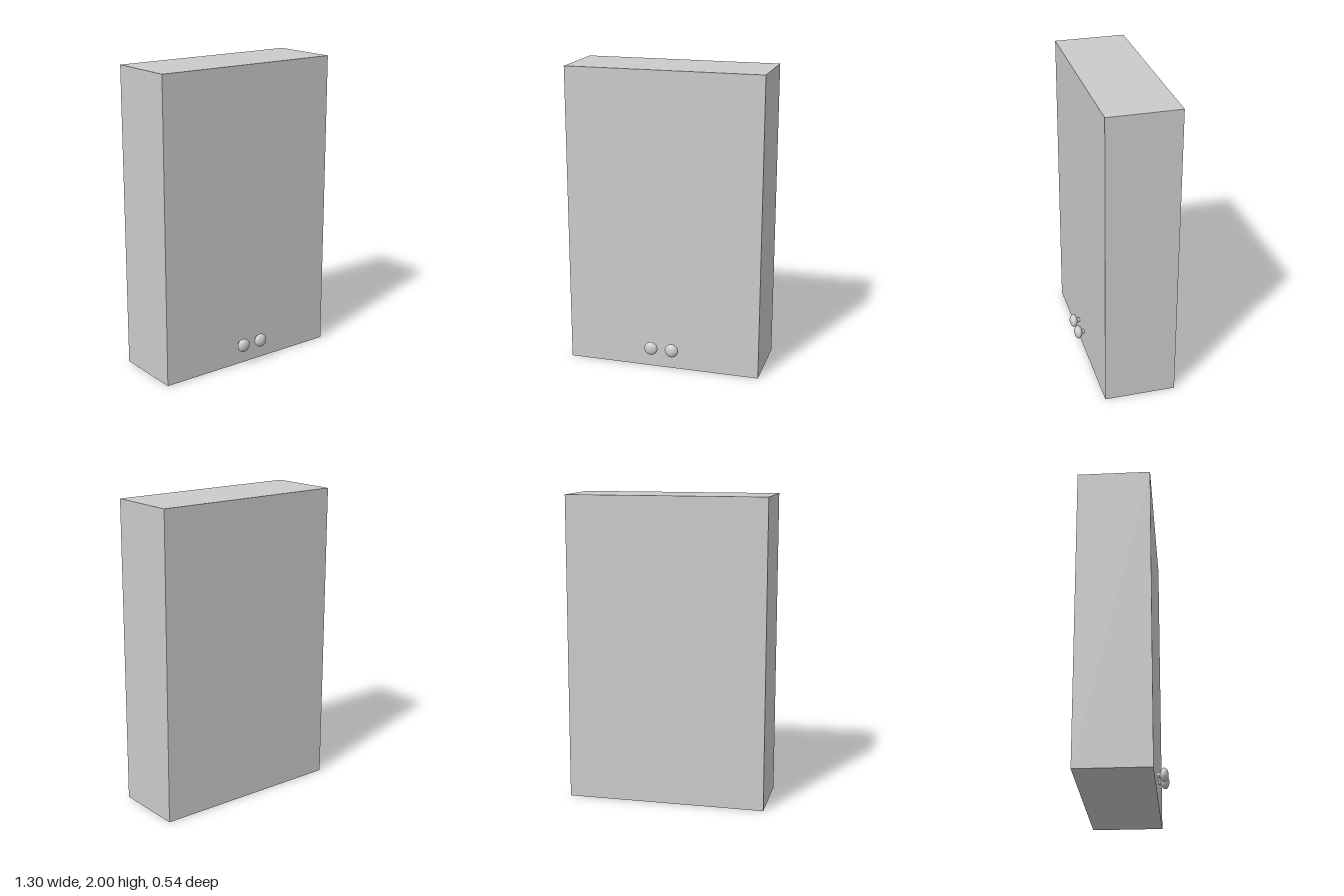
import * as THREE from 'three';

const material = new THREE.MeshStandardMaterial({ color: 0xcccccc });

function addMesh(parent, name, geometry, x, y, z) {
  const mesh = new THREE.Mesh(geometry, material);
  mesh.name = name;
  mesh.position.set(x, y, z);
  parent.add(mesh);
  return mesh;
}

// Flattened round knob on a short stem, pointing along +z from the origin
function createKnob(name) {
  const knob = new THREE.Group();
  knob.name = name;
  const stem = new THREE.CylinderGeometry(0.015, 0.015, 0.04, 24).rotateX(Math.PI / 2);
  addMesh(knob, 'knobStem', stem, 0, 0, 0.015);
  const head = new THREE.SphereGeometry(0.045, 32, 20).rotateX(Math.PI / 2).scale(1, 1, 0.6);
  addMesh(knob, 'knobHead', head, 0, 0, 0.042);
  return knob;
}

export function createModel() {
  const cabinet = new THREE.Group();
  cabinet.name = 'wallCabinet';

  // Plain closed body
  addMesh(cabinet, 'cabinetBody', new THREE.BoxGeometry(1.3, 2, 0.47), 0, 1, -0.035);

  // Mirrored pair of knobs low on the front
  for (const side of [-1, 1]) {
    const knob = createKnob(side > 0 ? 'leftKnob' : 'rightKnob');
    knob.position.set(side * 0.071, 0.143, 0.2);
    cabinet.add(knob);
  }
  return cabinet;
}
